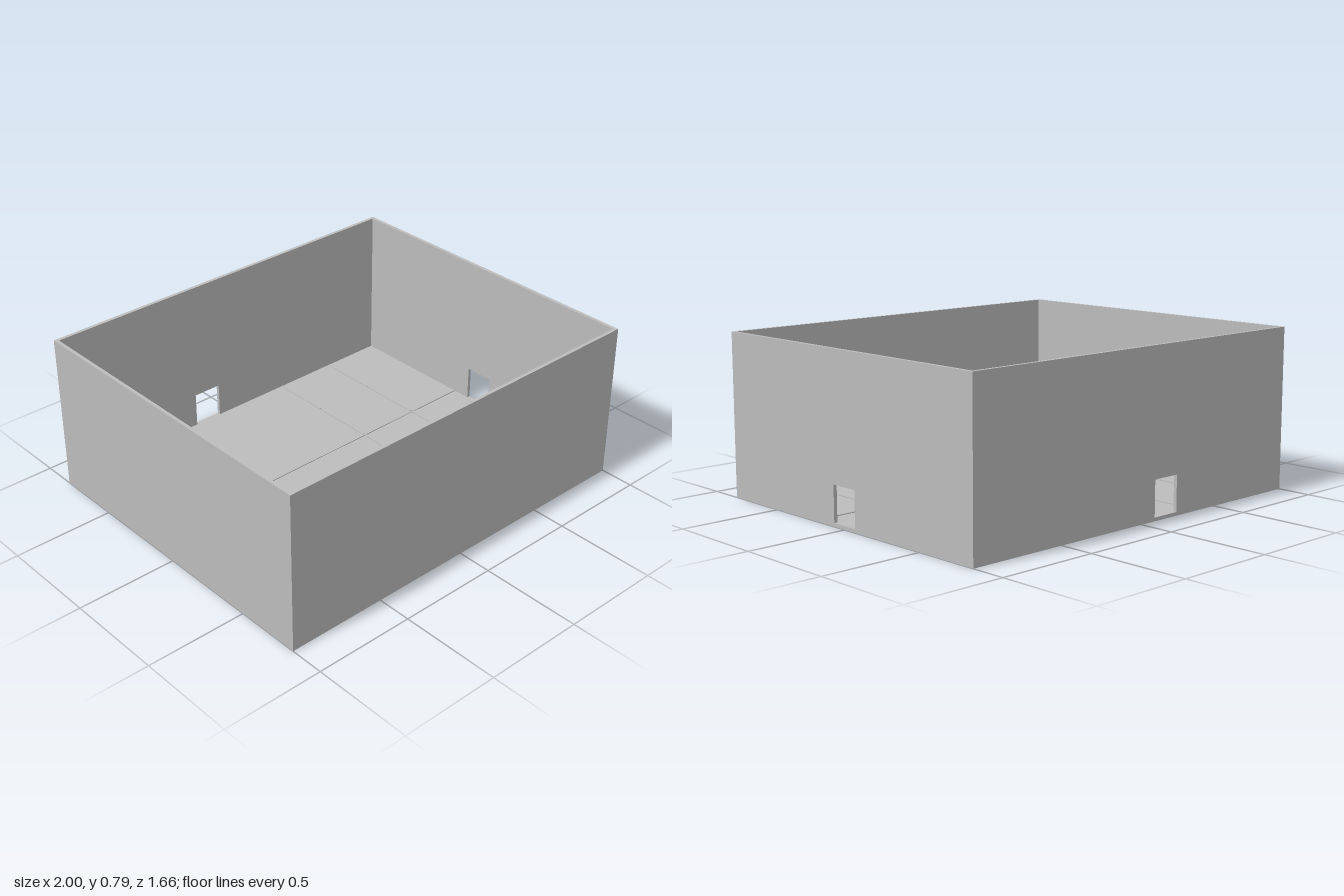
import * as THREE from 'three';

const W = 2, D = 1.66, H = 0.79; // outer size
const T = 0.017;                 // wall and floor thickness
const DOOR_W = 0.147, DOOR_TOP = 0.19;

const grey = new THREE.MeshStandardMaterial({ color: 0xbcbcbc });
grey.name = 'plain grey';

function add(group, name, geometry, x = 0, y = 0, z = 0) {
  const mesh = new THREE.Mesh(geometry, grey);
  mesh.name = name;
  mesh.position.set(x, y, z);
  group.add(mesh);
  return mesh;
}

// Upright wall in the xy plane, centred on z, with an optional doorway
function wallGeometry(width, doorCentre) {
  const shape = new THREE.Shape();
  shape.moveTo(-width / 2, 0).lineTo(width / 2, 0).lineTo(width / 2, H).lineTo(-width / 2, H).closePath();
  if (doorCentre !== undefined) {
    const a = doorCentre - DOOR_W / 2, b = doorCentre + DOOR_W / 2;
    const hole = new THREE.Path();
    hole.moveTo(a, T).lineTo(a, DOOR_TOP).lineTo(b, DOOR_TOP).lineTo(b, T).closePath();
    shape.holes.push(hole);
  }
  const geometry = new THREE.ExtrudeGeometry(shape, { depth: T, bevelEnabled: false });
  return geometry.translate(0, 0, -T / 2);
}

export function createModel() {
  const room = new THREE.Group();
  room.name = 'openRoom';

  // Floor slab inside the walls
  add(room, 'floor', new THREE.BoxGeometry(W - 2 * T, T, D - 2 * T), 0, T / 2, 0);

  // Long walls, the back one with an off-centre doorway
  add(room, 'frontWall', wallGeometry(W), 0, 0, D / 2 - T / 2);
  add(room, 'backWall', wallGeometry(W, -0.16), 0, 0, -D / 2 + T / 2);

  // Short walls, the left one with a central doorway
  const sideWidth = D - 2 * T;
  add(room, 'leftWall', wallGeometry(sideWidth, 0), W / 2 - T / 2).rotation.y = Math.PI / 2;
  add(room, 'rightWall', wallGeometry(sideWidth), -W / 2 + T / 2).rotation.y = Math.PI / 2;

  // Low floor strips, laid in short lengths with hairline joints
  const stripW = 0.009, stripH = 0.004, gap = 0.004;
  const y = T + stripH / 2;
  const zEnds = [-D / 2 + T, -1 / 2, -1 / 6, 1 / 6, 1 / 2, D / 2 - T];
  const xEnds = [-W / 2 + T, -2 / 3, -1 / 3, 0, 1 / 3, 2 / 3, W / 2 - T];
  for (const x of [-2 / 3, -1 / 3, 1 / 3, 2 / 3]) {
    for (let i = 0; i < zEnds.length - 1; i++) {
      const trimA = Math.abs(Math.abs(zEnds[i]) - 1 / 6) < 0.01 ? stripW / 2 : 0;
      const trimB = Math.abs(Math.abs(zEnds[i + 1]) - 1 / 6) < 0.01 ? stripW / 2 : 0;
      const a = zEnds[i] + trimA + gap / 2, b = zEnds[i + 1] - trimB - gap / 2;
      add(room, 'crossStrip', new THREE.BoxGeometry(stripW, stripH, b - a), x, y, (a + b) / 2);
    }
  }
  for (const z of [-1 / 6, 1 / 6]) {
    for (let i = 0; i < xEnds.length - 1; i++) {
      const a = xEnds[i] + gap / 2, b = xEnds[i + 1] - gap / 2;
      add(room, 'longStrip', new THREE.BoxGeometry(b - a, stripH, stripW), (a + b) / 2, y, z);
    }
  }
  return room;
}
